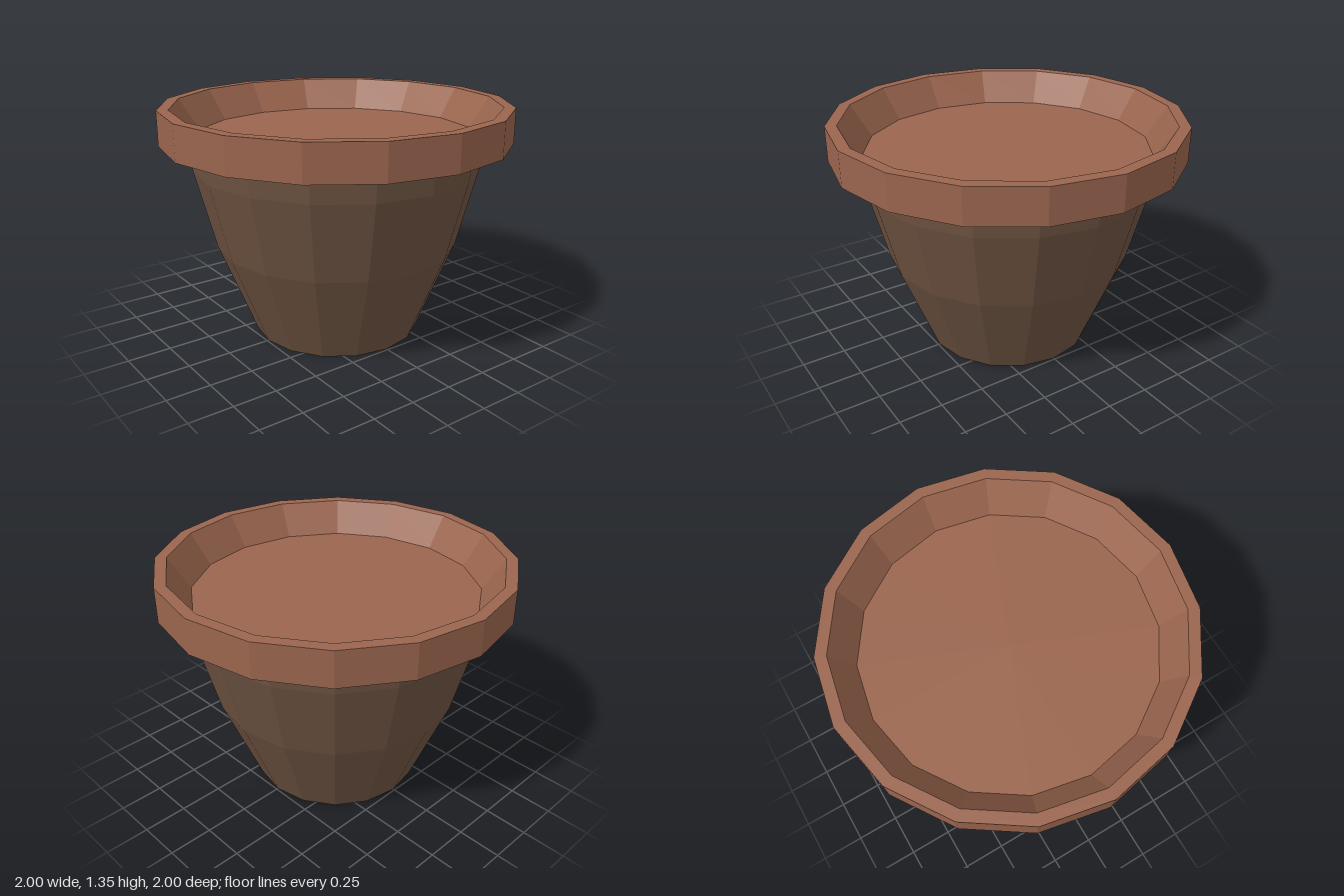
import * as THREE from 'three';

const SIDES = 16;

export function createModel() {
  const model = new THREE.Group();
  model.name = 'flowerPot';

  const terracotta = new THREE.MeshStandardMaterial({ color: 0x9a654e, flatShading: true });
  terracotta.name = 'terracotta';
  const darkClay = new THREE.MeshStandardMaterial({ color: 0x6f5442, flatShading: true });
  darkClay.name = 'dark clay';

  // Faceted part turned from a [radius, height] profile
  const turned = (name, profile, material) => {
    const points = profile.map(([r, y]) => new THREE.Vector2(r, y));
    const mesh = new THREE.Mesh(new THREE.LatheGeometry(points, SIDES), material);
    mesh.name = name;
    model.add(mesh);
  };

  // Tapered body with closed base
  turned('body', [[0, 0], [0.49, 0], [0.705, 0.54], [0.822, 1.0], [0.835, 1.11]], darkClay);

  // Overhanging rim: sloped underside, outer band, flat lip, inner wall
  turned('rim', [[0.835, 1.11], [1, 1.15], [1, 1.35], [0.935, 1.35], [0.815, 1.17]], terracotta);

  // Flat fill inside the rim
  turned('fill', [[0.815, 1.17], [0, 1.17]], terracotta);

  return model;
}
